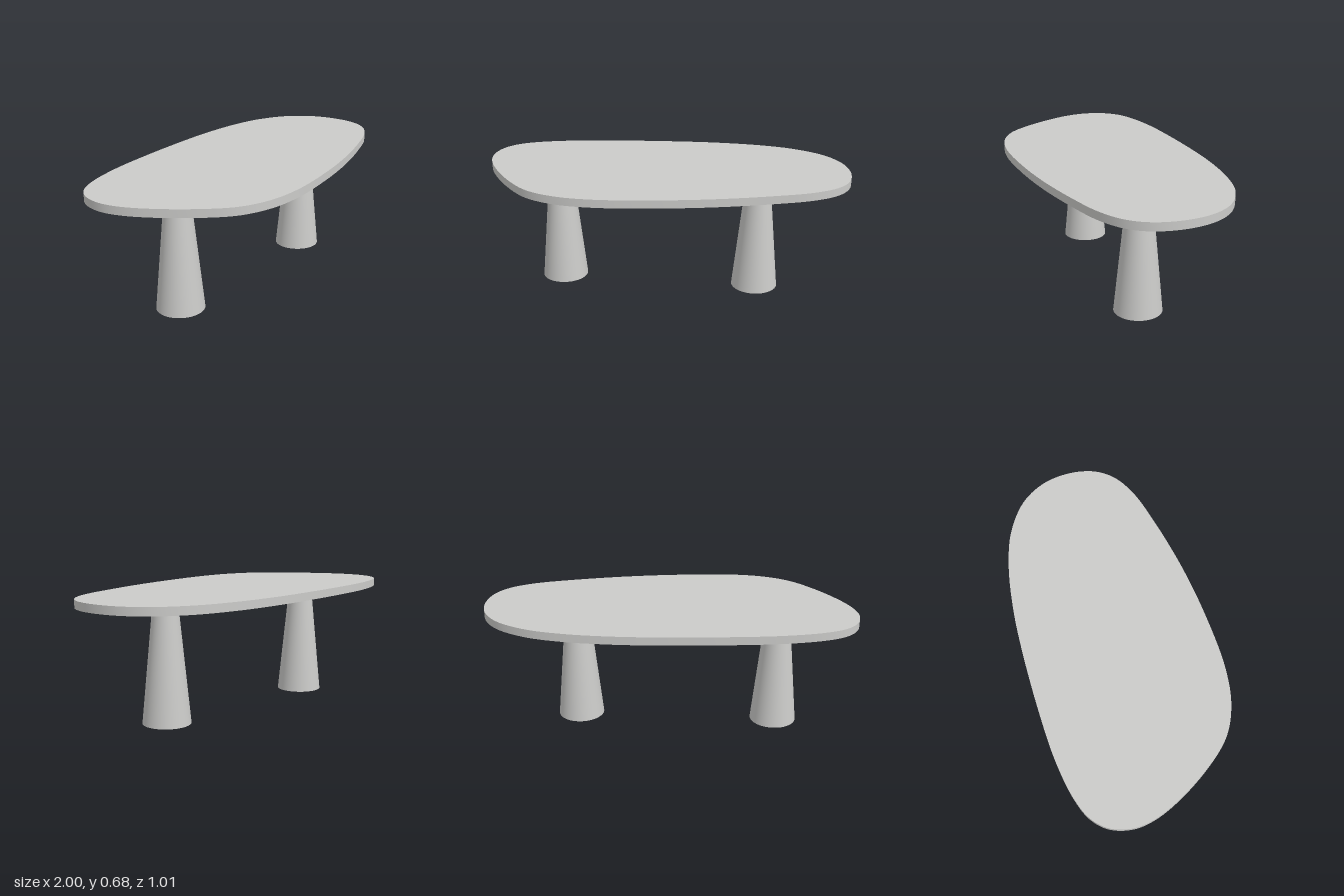
import * as THREE from 'three';
import { toCreasedNormals } from 'three/addons/utils/BufferGeometryUtils.js';

const TOP_Y = 0.675, THICKNESS = 0.043;

// Outline of the tabletop as (x, z) points
const OUTLINE = [
  [-1, -0.14], [-0.975, -0.25], [-0.91, -0.33], [-0.8, -0.387], [-0.6, -0.44], [-0.35, -0.474],
  [0, -0.502], [0.25, -0.508], [0.5, -0.49], [0.7, -0.443], [0.87, -0.345], [0.965, -0.215],
  [1, -0.06], [0.982, 0.08], [0.92, 0.18], [0.8, 0.263], [0.6, 0.337], [0.3, 0.42],
  [0, 0.475], [-0.3, 0.503], [-0.5, 0.483], [-0.66, 0.415], [-0.8, 0.275], [-0.93, 0.085], [-0.985, -0.04],
];

export function createModel() {
  const model = new THREE.Group();
  model.name = 'table';
  const grey = new THREE.MeshStandardMaterial({ color: 0xcbcbc9 });
  grey.name = 'light grey';

  // Asymmetric rounded slab
  const curve = new THREE.CatmullRomCurve3(OUTLINE.map(([x, z]) => new THREE.Vector3(x, z, 0)), true);
  const shape = new THREE.Shape(curve.getPoints(160).slice(0, -1).map((p) => new THREE.Vector2(p.x, p.y)));
  const slab = new THREE.ExtrudeGeometry(shape, { depth: THICKNESS, bevelEnabled: false });
  slab.rotateX(Math.PI / 2);
  const top = new THREE.Mesh(toCreasedNormals(slab, 0.6), grey);
  top.name = 'tabletop';
  top.position.y = TOP_Y;
  model.add(top);

  // Two tapered round legs
  const height = TOP_Y - THICKNESS;
  const legGeometry = new THREE.CylinderGeometry(0.065, 0.128, height, 64);
  for (const [name, x] of [['rightLeg', -0.586], ['leftLeg', 0.509]]) {
    const leg = new THREE.Mesh(legGeometry, grey);
    leg.name = name;
    leg.position.set(x, height / 2, -0.02);
    model.add(leg);
  }
  return model;
}
